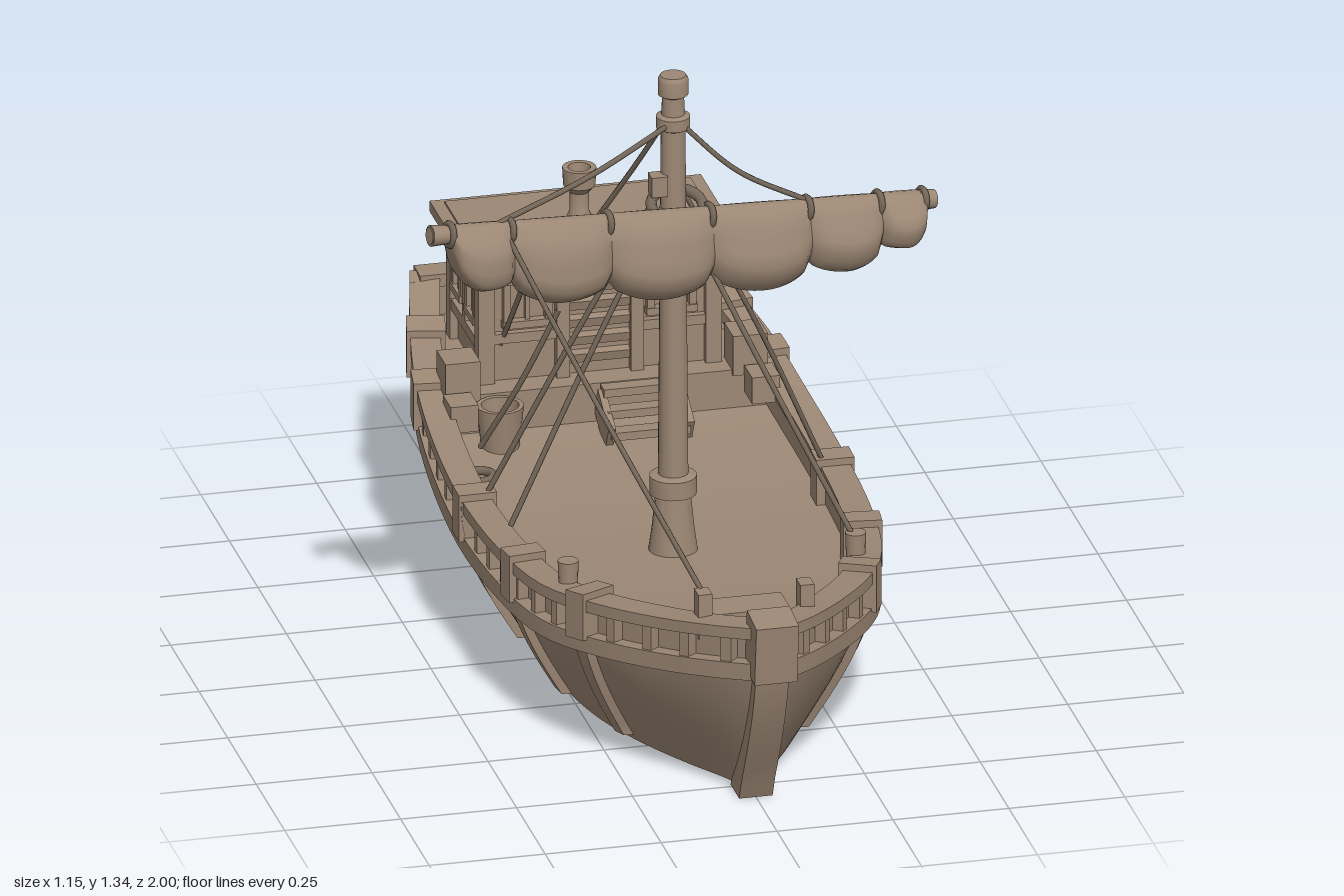
import * as THREE from 'three';
import { toCreasedNormals } from 'three/addons/utils/BufferGeometryUtils.js';

const V = (x, y, z) => new THREE.Vector3(x, y, z);
const wood = new THREE.MeshStandardMaterial({ color: 0x9c8774, side: THREE.DoubleSide });
const ropeMat = new THREE.MeshStandardMaterial({ color: 0x75685a });

// Hull stations, stern to bow: sheer line and bottom edge
const sheerLine = new THREE.CatmullRomCurve3([
  [.30, .49, -.94], [.335, .45, -.8], [.375, .41, -.6], [.395, .375, -.4], [.405, .35, -.1], [.39, .35, .2],
  [.355, .36, .42], [.285, .385, .6], [.185, .41, .76], [.10, .435, .88], [.035, .45, .95]].map(p => V(...p)));
const bottomLine = new THREE.CatmullRomCurve3([
  [.10, .012, -.87], [.17, .012, -.75], [.23, .012, -.58], [.26, .012, -.4], [.27, .012, -.1], [.26, .012, .18],
  [.225, .012, .37], [.165, .012, .52], [.10, .012, .64], [.05, .012, .72], [.012, .012, .79]].map(p => V(...p)));

// Point on the hull side: u along the length, t up the side
function hullPoint(u, t) {
  const a = bottomLine.getPoint(u), b = sheerLine.getPoint(u), k = Math.sin(t * Math.PI / 2);
  return V(a.x + (b.x - a.x) * k, a.y + (b.y - a.y) * t, a.z + (b.z - a.z) * k);
}
const deckT = u => 1 - .09 / sheerLine.getPoint(u).y;

// Position along the sheer line for a given z
function uAt(z) {
  let lo = 0, hi = 1;
  for (let i = 0; i < 30; i++) {
    const m = (lo + hi) / 2;
    if (sheerLine.getPoint(m).z < z) lo = m; else hi = m;
  }
  return lo;
}

// Skin closed rings of points and cap both ends
function loft(rings, crease = .6) {
  const n = rings[0].length, pos = [], idx = [];
  rings.forEach(r => r.forEach(p => pos.push(p.x, p.y, p.z)));
  for (let i = 0; i < rings.length - 1; i++) for (let j = 0; j < n; j++) {
    const a = i * n + j, b = i * n + (j + 1) % n;
    idx.push(a, b, a + n, b, b + n, a + n);
  }
  [0, rings.length - 1].forEach((r, e) => {
    const c = rings[r].reduce((s, p) => s.add(p), V(0, 0, 0)).divideScalar(n), ci = pos.length / 3;
    pos.push(c.x, c.y, c.z);
    for (let j = 0; j < n; j++) {
      const a = r * n + j, b = r * n + (j + 1) % n;
      if (e) idx.push(ci, a, b); else idx.push(ci, b, a);
    }
  });
  const g = new THREE.BufferGeometry();
  g.setAttribute('position', new THREE.Float32BufferAttribute(pos, 3));
  g.setIndex(idx);
  return toCreasedNormals(g, crease);
}

function add(parent, name, geo, mat = wood) {
  const m = new THREE.Mesh(geo, mat);
  m.name = name;
  parent.add(m);
  return m;
}
function box(parent, name, w, h, d, x, y, z) {
  const m = add(parent, name, new THREE.BoxGeometry(w, h, d));
  m.position.set(x, y, z);
  return m;
}
const lathe = pts => toCreasedNormals(new THREE.LatheGeometry(pts.map(p => new THREE.Vector2(...p)), 20), .6);
function rope(parent, name, pts, r = .006) {
  const c = new THREE.CatmullRomCurve3(pts.map(p => V(...p)));
  return add(parent, name, new THREE.TubeGeometry(c, 20, r, 6), ropeMat);
}
function spar(parent, name, a, b, r0, r1) {
  const m = add(parent, name, new THREE.CylinderGeometry(r1, r0, a.distanceTo(b), 14));
  m.position.copy(a).lerp(b, .5);
  m.quaternion.setFromUnitVectors(V(0, 1, 0), b.clone().sub(a).normalize());
  return m;
}

// Rectangular strip following the sheer, offsets measured outward and up from it, on both sides
function strip(parent, name, u0, u1, inner, outer, low, high, n = 40) {
  for (const s of [1, -1]) {
    const rings = [];
    for (let i = 0; i <= n; i++) {
      const u = u0 + (u1 - u0) * i / n, p = sheerLine.getPoint(u), t = sheerLine.getTangent(u);
      const l = Math.hypot(t.x, t.z);
      rings.push([[inner, low], [outer, low], [outer, high], [inner, high]].map(([o, h]) =>
        V(s * Math.max(0, p.x + o * t.z / l), p.y + h, p.z - o * t.x / l)));
    }
    add(parent, name, loft(rings));
  }
}

// Rib wrapped round the outside of the hull
function rib(parent, z, half = .018, out = .018) {
  const u = uAt(z), du = half / 1.9, rings = [];
  for (let i = -14; i <= 14; i++) {
    const s = i < 0 ? -1 : 1, t = Math.abs(i) / 14;
    const ring = [[-du, -.02], [du, -.02], [du, out], [-du, out]].map(([d, o]) => {
      const w = Math.min(1, Math.max(0, u + d)), p = hullPoint(w, t), q = hullPoint(w, t + .01);
      const dx = q.x - p.x, dy = q.y - p.y, l = Math.hypot(dx, dy);
      return V(s * (p.x + o * dy / l), Math.max(0, p.y - o * dx / l), p.z);
    });
    rings.push(ring);
  }
  add(parent, 'hullRib', loft(rings));
}

// Framed window facing +z, with a centre bar
function windowFrame(parent, x, y, z, turn, w = .09, h = .1) {
  const g = new THREE.Group();
  g.name = 'window';
  for (const s of [1, -1]) {
    box(g, 'windowSide', .016, h, .024, s * w / 2, 0, 0);
    box(g, 'windowSill', w + .02, .016, .03, 0, s * h / 2, 0);
  }
  box(g, 'windowBar', .01, h, .014, 0, 0, 0);
  g.position.set(x, y, z);
  g.rotation.y = turn;
  parent.add(g);
}

function buildHull(root) {
  const g = new THREE.Group();
  g.name = 'hull';
  root.add(g);
  // Shell closed across the top by the deck
  const rings = [];
  for (let i = 0; i <= 50; i++) {
    const u = i / 50, half = [];
    for (let j = 0; j <= 12; j++) half.push(hullPoint(u, deckT(u) * j / 12));
    rings.push([...half.slice().reverse(), ...half.map(p => V(-p.x, p.y, p.z))]);
  }
  add(g, 'hullAndDeck', loft(rings));
  strip(g, 'bulwark', 0, 1, -.04, -.018, -.11, -.01);
  strip(g, 'capRail', 0, 1, -.05, .014, -.026, 0);
  strip(g, 'wale', 0, 1, -.03, .012, -.12, -.082);
  for (let z = -.86; z < .9; z += .088) strip(g, 'railPost', uAt(z - .01), uAt(z + .01), -.03, .006, -.1, -.01, 1);
  for (const z of [-.75, -.56, -.08, .26, .55]) {
    rib(g, z);
    strip(g, 'railBlock', uAt(z - .027), uAt(z + .027), -.06, .022, -.09, .016, 2);
  }
  rib(g, -.92, .02, .012);
  // Stem and sternpost
  const stem = [], post = [];
  for (let i = 0; i <= 10; i++) {
    const p = hullPoint(1, i / 10), q = hullPoint(0, i / 10);
    const bar = (hw, y, a, b) => [V(-hw, y, a), V(hw, y, a), V(hw, y, b), V(-hw, y, b)];
    stem.push(bar(.036, i ? p.y : 0, p.z - .05, p.z + .025));
    post.push(bar(.035, i ? q.y : 0, q.z + .03, -.96 - .012 * i / 10));
  }
  add(g, 'stem', loft(stem));
  add(g, 'sternpost', loft(post));
  box(g, 'stemHead', .092, .135, .085, 0, .405, .957).rotation.x = .12;
  box(g, 'sternHead', .19, .11, .09, 0, .445, -.95);
  box(g, 'transomRail', .6, .028, .06, 0, .478, -.935);
  box(g, 'transomWale', .59, .035, .035, 0, .39, -.938);
  box(g, 'transomBulwark', .57, .1, .02, 0, .43, -.925);
  for (const s of [1, -1]) for (const x of [.15, .22, .285]) box(g, 'transomPost', .022, .1, .03, s * x, .43, -.938);
}

function buildDeckGear(root) {
  const g = new THREE.Group();
  g.name = 'deckFittings';
  root.add(g);
  const plat = (z, w) => [V(-w, .28, z), V(w, .28, z), V(w, .39, z), V(-w, .39, z)];
  add(g, 'quarterdeck', loft([plat(-.5, .345), plat(-.92, .27)]));
  for (let i = 0; i < 3; i++) box(g, 'step', .17, .018, .035, .07, .315 + i * .035, -.4 - i * .035);
  for (const s of [1, -1]) {
    box(g, 'stepSide', .016, .07, .11, .07 + s * .085, .33, -.445).rotation.x = .5;
    box(g, 'quarterBlock', .075, .09, .08, s * .31, .425, -.53);
    box(g, 'lowBlock', .06, .06, .07, s * .325, .375, -.45);
    spar(g, 'sternBollard', V(s * .22, .4, -.9), V(s * .22, .5, -.9), .016, .02);
    box(g, 'bowCleat', .03, .1, .04, s * .11, .425, .8);
    spar(g, 'sideBollard', V(s * .31, .28, .43), V(s * .31, .41, .43), .018, .022);
  }
  box(g, 'bowSeat', .165, .09, .085, 0, .365, .74);
  const bucket = add(g, 'bucket', lathe([[0, 0], [.04, 0], [.05, .1], [.04, .1], [.034, .03], [0, .03]]));
  bucket.position.set(-.24, .285, -.45);
  const coil = add(g, 'ropeCoil', new THREE.TorusGeometry(.03, .01, 8, 18), ropeMat);
  coil.position.set(-.32, .29, -.31);
  coil.rotation.x = Math.PI / 2;
}

function buildCabin(root) {
  const g = new THREE.Group();
  g.name = 'cabin';
  root.add(g);
  box(g, 'cabinWalls', .49, .29, .25, 0, .525, -.69);
  box(g, 'roof', .585, .024, .33, 0, .673, -.69);
  box(g, 'roofPanel', .53, .012, .27, 0, .684, -.7);
  for (const s of [1, -1]) {
    for (const z of [-.565, -.815]) box(g, 'cornerPost', .035, .28, .035, s * .245, .525, z);
    box(g, 'sideSill', .02, .025, .25, s * .25, .47, -.69);
    box(g, 'sideMidPost', .02, .2, .025, s * .25, .56, -.69);
    for (const z of [-.63, -.75]) windowFrame(g, s * .25, .565, z, Math.PI / 2, .065, .095);
    windowFrame(g, s * .155, .57, -.56, 0);
    windowFrame(g, s * .13, .57, -.82, 0);
    box(g, 'doorPost', .028, .27, .03, s * .08, .525, -.56);
    box(g, 'endSill', .17, .022, .022, s * .165, .49, -.56);
  }
  for (let i = 0; i < 6; i++) box(g, 'doorSlat', .13, .022, .018, 0, .43 + i * .04, -.56).rotation.x = .3;
  const chimney = add(g, 'chimney', lathe([[.042, .68], [.036, .7], [.021, .73], [.02, .775], [.034, .79],
    [.036, .83], [.024, .83], [.02, .8], [0, .8]]));
  chimney.position.set(-.025, 0, -.63);
}

function buildRig(root) {
  const g = new THREE.Group();
  g.name = 'rigging';
  root.add(g);
  const mast = add(g, 'mast', lathe([[.055, .24], [.045, .31], [.037, .39], [.05, .39], [.05, .43], [.032, .435],
    [.026, 1.22], [.036, 1.225], [.036, 1.25], [.025, 1.255], [.023, 1.295], [.032, 1.3], [.032, 1.335], [.027, 1.343], [0, 1.343]]));
  mast.position.z = .09;
  const a = V(-.57, 1.11, .27), b = V(.57, .992, .07);
  const at = x => a.clone().lerp(b, (x - a.x) / (b.x - a.x));
  spar(g, 'yard', a, b, .019, .015);
  for (const x of [-.55, .55]) spar(g, 'yardEnd', at(x - .018), at(x + .018), .023, .02);
  // Furled sail hanging in lobes between its lashings
  const edges = [-.525, -.39, -.17, .06, .28, .44, .54], sag = [.13, .17, .18, .175, .145, .1];
  const side = b.clone().sub(a).cross(V(0, 1, 0)).normalize(), rings = [];
  const steps = 12;
  sag.forEach((d, k) => {
    for (let i = k ? 1 : 0; i <= steps; i++) {
      const v = i / steps, f = Math.sqrt(Math.max(0, Math.sin(Math.PI * v)));
      const dEdge = v < .5 ? (k ? (sag[k - 1] + d) / 2 : .05) : (k < 5 ? (sag[k + 1] + d) / 2 : .05);
      const depth = d * f + dEdge * .74 * (1 - f), c = at(edges[k] + (edges[k + 1] - edges[k]) * v), ring = [];
      for (let j = 0; j < 20; j++) {
        const q = j / 20 * Math.PI * 2, fold = 1 + .06 * Math.sin(6 * q + k);
        ring.push(c.clone().addScaledVector(side, Math.sin(q) * (.03 + .03 * f) * fold * (1 - .3 * Math.cos(q)))
          .add(V(0, .022 - (depth + .022) * (1 - Math.cos(q)) / 2, 0)));
      }
      rings.push(ring);
    }
  });
  add(g, 'furledSail', loft(rings, 1));
  const along = b.clone().sub(a).normalize();
  for (const x of edges) {
    const r = add(g, 'lashing', new THREE.TorusGeometry(.024, .007, 6, 16), ropeMat);
    r.position.copy(at(x));
    r.quaternion.setFromUnitVectors(V(0, 0, 1), along);
  }
  const sling = add(g, 'yardSling', new THREE.TorusGeometry(.055, .012, 8, 20), ropeMat);
  sling.position.set(0, 1.06, .125);
  sling.rotation.x = Math.PI / 2 + .3;
  box(g, 'pulley', .035, .045, .035, -.035, 1.1, .1);
  // Ropes
  rope(g, 'yardLift', [[-.01, 1.24, .11], [-.2, 1.165, .17], [-.42, 1.11, .245]]);
  rope(g, 'yardLift', [[.01, 1.24, .11], [.13, 1.125, .125], [.29, 1.035, .12]]);
  rope(g, 'bowLine', [[-.405, 1.1, .25], [-.25, .76, .52], [-.1, .45, .8]]);
  for (const s of [1, -1]) rope(g, 'sideShroud', [[s * .02, 1.08, .07], [s * .2, .72, .01], [s * .36, .36, -.07]]);
  rope(g, 'foreShroud', [[.03, 1.0, .13], [.17, .69, .28], [.31, .39, .43]]);
  rope(g, 'foreShroud', [[-.02, 1.05, .09], [-.18, .72, .09], [-.35, .35, .09]]);
  rope(g, 'backstay', [[0, 1.24, .06], [-.06, 1.04, -.08], [-.14, .85, -.2], [-.17, .785, -.3], [-.18, .755, -.39], [-.19, .63, -.47], [-.21, .47, -.57]]);
  rope(g, 'looseEnd', [[-.17, .785, -.3], [-.16, .82, -.25], [-.15, .85, -.22]], .005);
  rope(g, 'looseEnd', [[-.18, .755, -.39], [-.18, .78, -.37], [-.18, .81, -.35]], .005);
  rope(g, 'brokenRope', [[-.18, .71, -.18], [-.25, .53, -.23], [-.32, .36, -.3]]);
}

export function createModel() {
  const root = new THREE.Group();
  root.name = 'sailingBoat';
  [buildHull, buildDeckGear, buildCabin, buildRig].forEach(f => f(root));
  return root;
}
